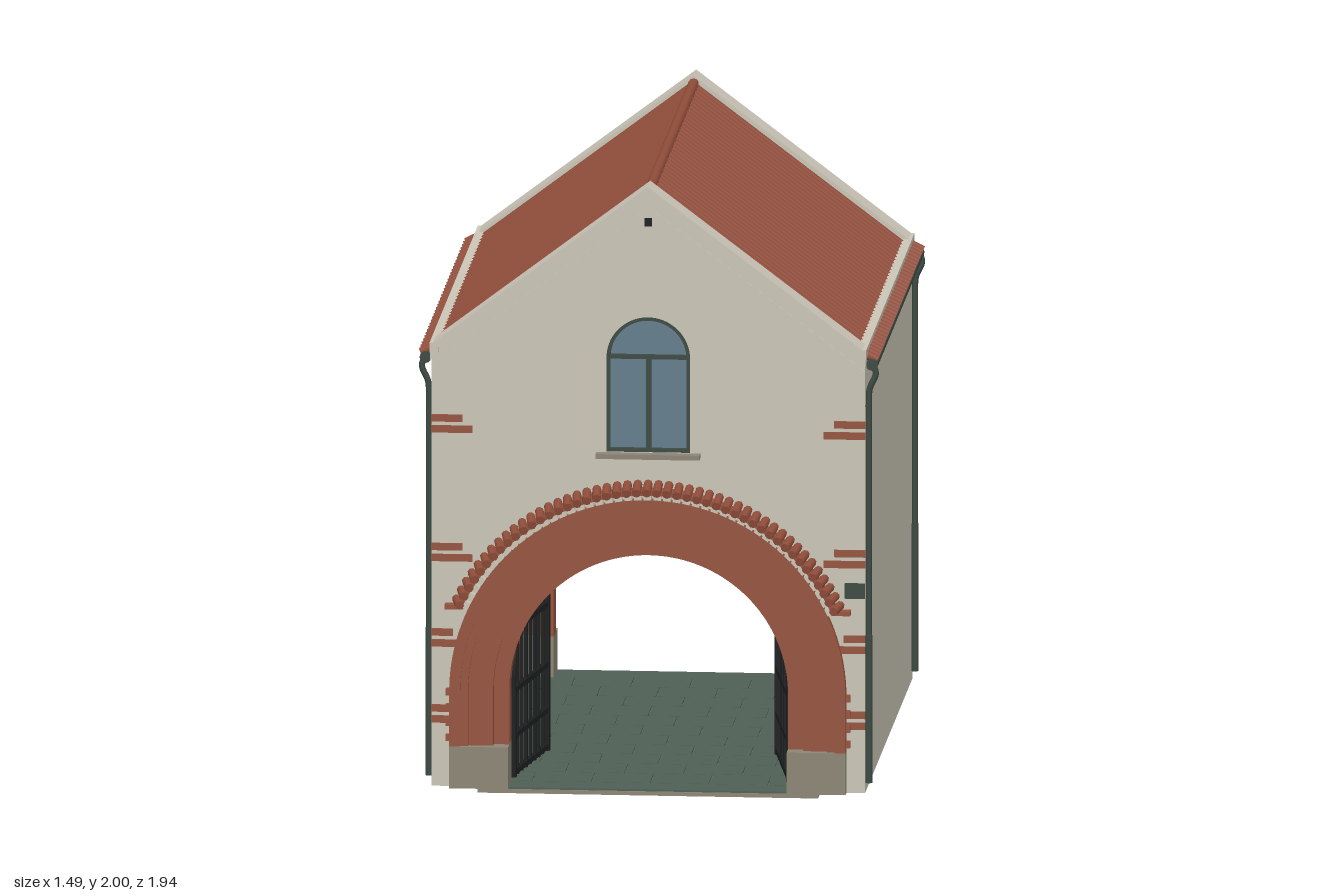
import * as THREE from 'three';
import { toCreasedNormals } from 'three/addons/utils/BufferGeometryUtils.js';

const mat = (name, color) => new THREE.MeshStandardMaterial({ name, color });
const plaster = mat('cream plaster', 0xcac5b6);
const brick = mat('red brick', 0x95543f);
const clay = mat('clay roof tile', 0x914d3a);
const stone = mat('grey stone', 0x8b8575);
const green = mat('dark green metal', 0x3c4a42);
const paving = mat('green paving', 0x4f5f55);
const glass = mat('blue glass', 0x647d8c);
const iron = mat('black iron', 0x1d1f20);

const C = 0.332;          // centre height of the arch
const SLOPE = 0.757;      // fall of the roof per unit of x
const TILT = Math.atan(SLOPE);

function add(parent, name, geometry, material) {
  const m = new THREE.Mesh(geometry, material);
  m.name = name;
  parent.add(m);
  return m;
}
// Box given by its limits on each axis
function box(parent, name, material, x0, x1, y0, y1, z0, z1) {
  const m = add(parent, name, new THREE.BoxGeometry(Math.abs(x1 - x0), y1 - y0, z1 - z0), material);
  m.position.set((x0 + x1) / 2, (y0 + y1) / 2, (z0 + z1) / 2);
  return m;
}
// Shape extruded from z0 to z1
function slab(parent, name, material, shape, z0, z1) {
  const g = new THREE.ExtrudeGeometry(shape, { depth: z1 - z0, bevelEnabled: false, curveSegments: 36 });
  g.translate(0, 0, z0);
  return add(parent, name, toCreasedNormals(g, 0.5), material);
}
// Round bar between two points
function bar(parent, name, material, a, b, r, sides = 8) {
  const from = new THREE.Vector3(...a), to = new THREE.Vector3(...b), d = to.clone().sub(from);
  const m = add(parent, name, new THREE.CylinderGeometry(r, r, d.length(), sides), material);
  m.position.copy(from).add(to).multiplyScalar(0.5);
  m.quaternion.setFromUnitVectors(new THREE.Vector3(0, 1, 0), d.normalize());
  return m;
}
const poly = pts => new THREE.Shape(pts.map(p => new THREE.Vector2(...p)));

// Horseshoe ring with straight legs
function ringShape(r0, r1, y0) {
  const s = new THREE.Shape();
  s.moveTo(-r1, y0); s.lineTo(-r1, C);
  s.absarc(0, C, r1, Math.PI, 0, true);
  s.lineTo(r1, y0); s.lineTo(r0, y0); s.lineTo(r0, C);
  s.absarc(0, C, r0, 0, Math.PI, false);
  s.lineTo(-r0, y0);
  return s;
}
function arcBand(r0, r1, a0, a1) {
  const s = new THREE.Shape();
  s.absarc(0, C, r1, a0, a1, false);
  s.absarc(0, C, r0, a1, a0, true);
  return s;
}
// Round-headed opening
function headed(hw, y0, yc, Type = THREE.Shape) {
  const s = new Type();
  s.moveTo(-hw, y0); s.lineTo(hw, y0); s.lineTo(hw, yc);
  s.absarc(0, yc, hw, 0, Math.PI, false);
  s.lineTo(-hw, y0);
  return s;
}
// Chevron that follows the gable, between two heights below its top
function chevron(d0, d1, w) {
  const e = w * SLOPE;
  return poly([[0, 2 - d0], [-w, 2 - d0 - e], [-w, 2 - d1 - e], [0, 2 - d1], [w, 2 - d1 - e], [w, 2 - d0 - e]]);
}

function makeWindow(g) {
  slab(g, 'windowGlass', glass, headed(0.13, 1.13, 1.432), 0.872, 0.88);
  const frame = headed(0.136, 1.122, 1.432);
  frame.holes.push(headed(0.123, 1.135, 1.432, THREE.Path));
  slab(g, 'windowFrame', green, frame, 0.868, 0.896);
  box(g, 'windowMullion', green, -0.008, 0.008, 1.13, 1.435, 0.87, 0.892);
  box(g, 'windowTransom', green, -0.128, 0.128, 1.428, 1.442, 0.87, 0.893);
  box(g, 'windowSill', stone, -0.168, 0.168, 1.106, 1.122, 0.87, 0.935);
}

function makeArch(g) {
  [[0.45, 0.505, 0.80, 0.885], [0.5, 0.585, 0.815, 0.91], [0.58, 0.61, 0.83, 0.925], [0.605, 0.64, 0.83, 0.935]]
    .forEach(([r0, r1, z0, z1]) => slab(g, 'archRing', brick, ringShape(r0, r1, 0.15), z0, z1));
  for (const s of [-1, 1]) {
    box(g, 'archPlinth', stone, s * 0.45, s * 0.64, 0.015, 0.152, 0.795, 0.937);
    for (let i = 0; i < 4; i++) // toothed bricks beside the jamb
      box(g, 'toothBrick', brick, s * 0.63, s * 0.653, 0.165 + i * 0.05, 0.188 + i * 0.05, 0.88, 0.915);
    box(g, 'canopyEnd', brick, s * 0.595, s * 0.655, 0.603, 0.618, 0.89, 0.935);
  }
  // Tiled canopy over the arch
  const a0 = 0.45, a1 = Math.PI - a0, n = 46;
  slab(g, 'canopyBed', brick, arcBand(0.66, 0.677, a0, a1), 0.89, 0.955);
  for (let i = 0; i <= n; i++) {
    const a = a0 + (a1 - a0) * i / n, c = Math.cos(a), s = Math.sin(a);
    bar(g, 'canopyTile', clay, [0.69 * c, C + 0.69 * s, 0.89], [0.67 * c, C + 0.67 * s, 0.968], 0.0145);
    const t = box(g, 'canopyCorbel', plaster, -0.012, 0.012, -0.012, 0.012, 0.89, 0.93);
    t.position.set(0.65 * c, C + 0.65 * s, 0.91);
    t.rotation.z = a;
  }
}

// One end of the building, facing +z
function makeEnd(name) {
  const g = new THREE.Group();
  g.name = name;
  const wall = new THREE.Shape();
  wall.moveTo(0.52, 0.015); wall.lineTo(0.7, 0.015); wall.lineTo(0.7, 1.45);
  wall.lineTo(0, 1.98); wall.lineTo(-0.7, 1.45); wall.lineTo(-0.7, 0.015);
  wall.lineTo(-0.52, 0.015); wall.lineTo(-0.52, C);
  wall.absarc(0, C, 0.52, Math.PI, 0, true);
  wall.holes.push(headed(0.135, 1.123, 1.432, THREE.Path));
  slab(g, 'gableWall', plaster, wall, 0.82, 0.9);
  slab(g, 'gableCoping', plaster, chevron(0, 0.028, 0.703), 0.82, 0.92);
  slab(g, 'gableMoulding', plaster, chevron(0.028, 0.05, 0.703), 0.86, 0.912);
  // Stepped dentils under the coping
  for (const s of [-1, 1]) for (let i = 0; i < 21; i++) {
    const x = 0.02 + i * 0.033;
    for (const [dx, drop, w, h] of [[0, 0.06, 0.02, 0.026], [0.007, 0.079, 0.02, 0.018]]) {
      const d = add(g, 'dentil', new THREE.BoxGeometry(w, h, 0.03), plaster);
      d.position.set(s * (x + dx), 2 - drop - (x + dx) * SLOPE, 0.895);
      d.rotation.z = -s * TILT;
    }
  }
  box(g, 'gableVent', iron, -0.012, 0.012, 1.866, 1.894, 0.896, 0.903);
  makeWindow(g);
  makeArch(g);
  return g;
}

// Roof, wall, eaves and pipes on one side (s = +1 or -1)
function makeSide(s) {
  const g = new THREE.Group();
  g.name = s > 0 ? 'leftSide' : 'rightSide';
  box(g, 'outerWall', plaster, s * 0.665, s * 0.7, 0.015, 1.45, -0.885, 0.885);
  box(g, 'innerWall', plaster, s * 0.57, s * 0.62, 0.015, 0.96, -0.825, 0.825);
  box(g, 'brickSkirting', brick, s * 0.55, s * 0.572, 0.015, 0.15, -0.82, 0.82);
  box(g, 'eaveStrip', plaster, s * 0.675, s * 0.705, 1.443, 1.475, -0.918, 0.918);
  const n = 33;
  for (let i = 0; i < n; i++) {
    const z = -0.82 + 1.64 * (i + 0.5) / n;
    bar(g, 'roofTileRow', clay, [s * 0.005, 1.963, z], [s * 0.675, 1.967 - 0.675 * SLOPE, z], 0.0185);
  }
  for (let i = 0; i < 36; i++) {
    const z = -0.86 + 1.72 * i / 35;
    bar(g, 'eaveTile', clay, [s * 0.695, 1.452, z], [s * 0.737, 1.431, z], 0.015);
  }
  bar(g, 'gutter', green, [s * 0.721, 1.42, -0.885], [s * 0.721, 1.42, 0.885], 0.019, 12);
  for (const z of [-0.875, 0.875]) {
    const path = new THREE.CatmullRomCurve3([[0.725, 1.42], [0.733, 1.39], [0.713, 1.34], [0.71, 1.28]]
      .map(([x, y]) => new THREE.Vector3(s * x, y, z)));
    add(g, 'pipeBend', new THREE.TubeGeometry(path, 14, 0.01, 8), green);
    bar(g, 'downpipe', green, [s * 0.71, 1.29, z], [s * 0.71, 0.045, z], 0.01, 10);
    bar(g, 'pipeSleeve', green, [s * 0.71, 0.53, z], [s * 0.71, 0.045, z], 0.0125, 10);
  }
  return g;
}

// Arched half gate, hinged at its origin and reaching along +x
function makeGate(s) {
  const g = new THREE.Group(), w = 0.43;
  g.name = s > 0 ? 'leftGate' : 'rightGate';
  const top = u => C - 0.02 + Math.sqrt(w * w - (w - u) ** 2);
  for (let i = 0; i <= 8; i++) {
    const u = w * i / 8, t = i % 8 ? 0.005 : 0.009;
    box(g, 'gateBar', iron, u - t, u + t, 0.025, top(u), -t, t);
  }
  [0.04, 0.16, 0.31].forEach(y => box(g, 'gateRail', iron, 0, w, y - 0.009, y + 0.009, -0.007, 0.007));
  box(g, 'gateRail', iron, 0.07, w, 0.5, 0.518, -0.007, 0.007);
  const pts = [];
  for (let i = 0; i <= 10; i++) {
    const a = Math.PI / 2 * i / 10;
    pts.push(new THREE.Vector3(w - w * Math.cos(a), C - 0.02 + w * Math.sin(a), 0));
  }
  add(g, 'gateTopRail', new THREE.TubeGeometry(new THREE.CatmullRomCurve3(pts), 20, 0.009, 6), iron);
  g.position.set(s * 0.445, 0, 0.79);
  g.rotation.y = Math.PI / 2 + s * 0.17;
  return g;
}

export function createModel() {
  const model = new THREE.Group();
  model.name = 'gatehouse';
  const back = makeEnd('backEnd');
  back.rotation.y = Math.PI;
  model.add(makeEnd('frontEnd'), back, makeSide(1), makeSide(-1), makeGate(1), makeGate(-1));

  // Roof deck and ridge
  slab(model, 'roofDeck', clay, chevron(0.038, 0.07, 0.68), -0.825, 0.825);
  bar(model, 'ridgeTile', clay, [0, 1.975, -0.82], [0, 1.975, 0.82], 0.017, 10);

  // Passage ceiling with a lamp
  box(model, 'ceiling', plaster, -0.62, 0.62, 0.95, 0.97, -0.825, 0.825);
  bar(model, 'ceilingLamp', iron, [0, 0.952, 0], [0, 0.92, 0], 0.03, 16);

  // Floor with staggered paving
  box(model, 'floorBase', stone, -0.55, 0.55, 0, 0.013, -0.925, 0.925);
  for (const z of [-0.87, 0.87]) box(model, 'threshold', paving, -0.45, 0.45, 0.012, 0.019, z - 0.05, z + 0.05);
  for (let r = 0; r < 11; r++) for (let c = 0; c < 7; c++) {
    const z = -0.82 + r * 1.64 / 11, x = -0.57 + (c - (r % 2) / 2) * 0.19;
    const x0 = Math.max(x, -0.57), x1 = Math.min(x + 0.187, 0.57);
    if (x1 - x0 > 0.02) box(model, 'pavingSlab', paving, x0, x1, 0.012, 0.019, z, z + 0.146);
  }

  // Brick accents on the front corners
  for (const s of [-1, 1]) for (const y of [1.225, 0.802, 0.521, 0.271]) {
    const inner = y > 0.6 ? 0.6 : 0.63;
    box(model, 'cornerBrick', brick, s * inner, s * 0.701, y - 0.012, y + 0.012, 0.895, 0.904);
    box(model, 'cornerBrick', brick, s * (inner - 0.033), s * 0.701, y - 0.048, y - 0.024, 0.895, 0.904);
  }
  box(model, 'wallPlate', green, 0.635, 0.7, 0.655, 0.705, 0.899, 0.908);
  return model;
}
